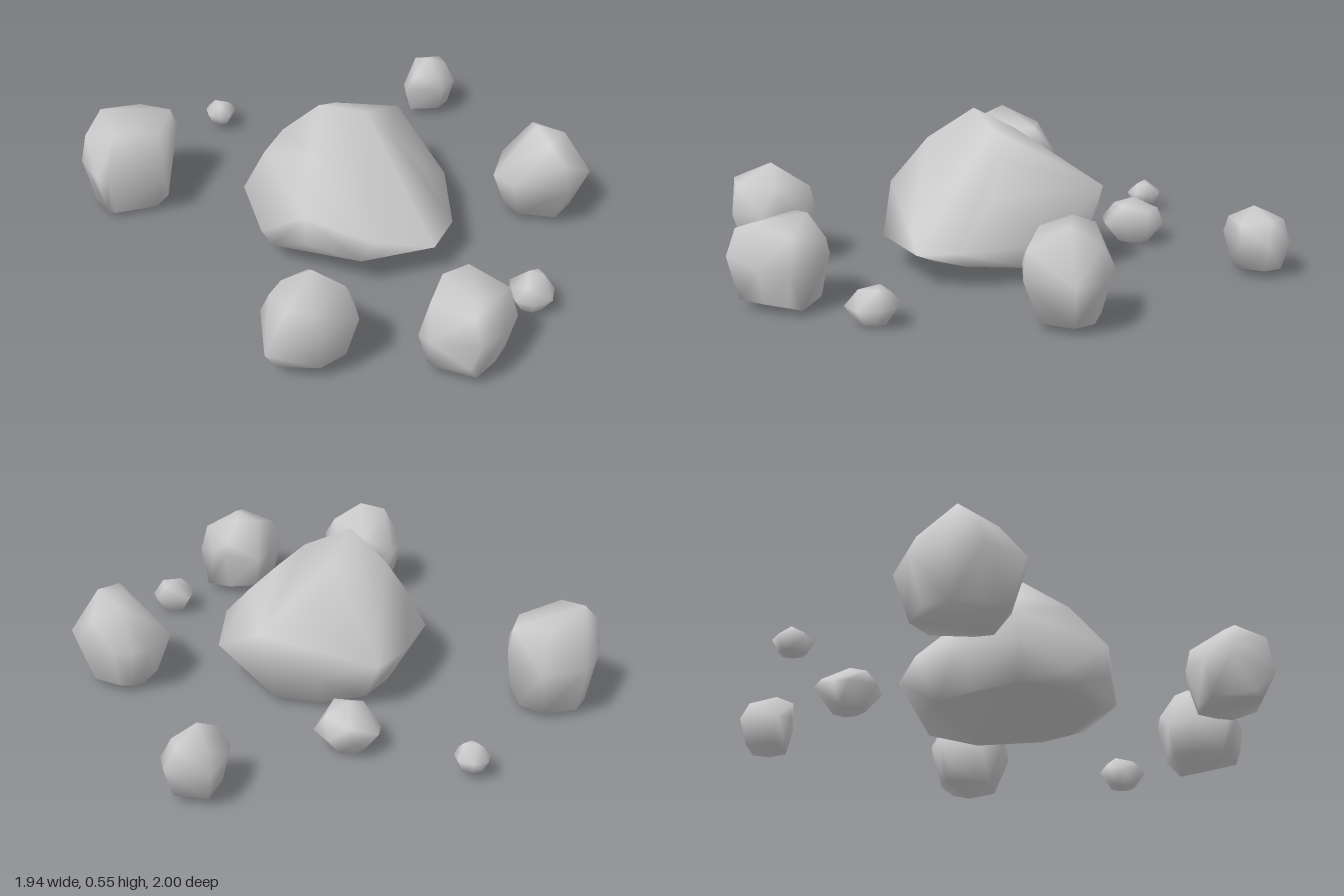
import * as THREE from 'three';
import { ConvexGeometry } from 'three/addons/geometries/ConvexGeometry.js';
import { mergeVertices } from 'three/addons/utils/BufferGeometryUtils.js';

const material = new THREE.MeshStandardMaterial({ color: 0xcccccc });

// A smooth-shaded boulder: widest outline (rim) as [x, z, height], extra corners (crown)
// as [x, y, z], and an underside made by shrinking the rim onto a base plane.
// A crown corner with a fourth number is pressed down by that much to form a hollow.
function stone(name, { rim, belt, crown, base, shrink = 0.72, tilt = 0 }) {
  const cx = rim.reduce((s, p) => s + p[0], 0) / rim.length;
  const cz = rim.reduce((s, p) => s + p[1], 0) / rim.length;
  const points = crown.map(([x, y, z]) => new THREE.Vector3(x, y, z));
  for (const [x, z, y = belt] of rim) {
    const bz = cz + (z - cz) * shrink;
    points.push(new THREE.Vector3(x, y, z));
    points.push(new THREE.Vector3(cx + (x - cx) * shrink, base + tilt * (bz - cz), bz));
  }
  const hull = new ConvexGeometry(points);
  hull.deleteAttribute('normal');
  const geometry = mergeVertices(hull);
  const pos = geometry.attributes.position;
  for (const [x, y, z, drop] of crown.filter((p) => p.length > 3)) {
    for (let i = 0; i < pos.count; i++) {
      const d = Math.hypot(pos.getX(i) - x, pos.getY(i) - y, pos.getZ(i) - z);
      if (d < 1e-3) pos.setY(i, y - drop);
    }
  }
  geometry.computeVertexNormals();
  const mesh = new THREE.Mesh(geometry, material);
  mesh.name = name;
  return mesh;
}

export function createModel() {
  const group = new THREE.Group();
  group.name = 'rocks';
  group.add(
    // large central boulder, with a hollow above its front lip
    stone('centralBoulder', {
      belt: 0.19, base: 0.06, shrink: 0.78, tilt: 0.09,
      rim: [[-0.35, -0.01], [-0.27, -0.21], [-0.16, -0.36], [0.05, -0.41, 0.17], [0.26, -0.36, 0.32],
        [0.42, -0.11, 0.16], [0.41, 0.21, 0.15], [0.33, 0.34, 0.13], [0.06, 0.41, 0.13],
        [-0.13, 0.35, 0.17], [-0.29, 0.17, 0.11]],
      crown: [[-0.27, 0.34, -0.01], [-0.2, 0.44, 0], [-0.07, 0.56, 0.04], [0.1, 0.51, 0.01],
        [0.2, 0.42, 0.03], [0.31, 0.31, 0.06], [-0.1, 0.45, 0.21], [-0.14, 0.28, 0.345],
        [0, 0.49, -0.1], [0.07, 0.37, -0.27], [-0.25, 0.08, 0.22], [0.11, 0.31, 0.315, 0.17]],
    }),
    // medium rocks around it
    stone('leftRearRock', {
      belt: 0.21, base: 0.03, shrink: 0.74,
      rim: [[-0.97, -0.2], [-0.94, -0.32], [-0.88, -0.43], [-0.72, -0.47], [-0.61, -0.38, 0.25],
        [-0.65, -0.1, 0.18], [-0.86, -0.05], [-0.9, -0.06]],
      crown: [[-0.95, 0.31, -0.22], [-0.89, 0.39, -0.28], [-0.63, 0.34, -0.35],
        [-0.75, 0.34, -0.4], [-0.83, 0.35, -0.14], [-0.67, 0.32, -0.2], [-0.65, 0.04, -0.2]],
    }),
    stone('rightRock', {
      belt: 0.19, base: 0.035, shrink: 0.68,
      rim: [[0.6, -0.05, 0.18], [0.66, -0.21], [0.72, -0.235], [0.79, -0.23], [0.93, -0.15],
        [0.97, -0.04], [0.86, 0.1], [0.66, 0.05]],
      crown: [[0.76, 0.37, -0.09], [0.86, 0.36, -0.05], [0.76, 0.34, -0.17], [0.87, 0.29, -0.16],
        [0.84, 0.29, 0.085], [0.79, 0.35, 0.03], [0.65, 0.09, -0.17]],
    }),
    stone('frontRock', {
      belt: 0.2, base: 0.06, shrink: 0.74,
      rim: [[-0.3, 0.76], [-0.26, 0.67], [-0.14, 0.63], [-0.03, 0.66], [0.01, 0.76, 0.22],
        [0.02, 0.85, 0.22], [-0.1, 0.94], [-0.29, 0.92, 0.14]],
      crown: [[-0.27, 0.28, 0.78], [-0.23, 0.35, 0.8], [-0.13, 0.38, 0.79], [-0.02, 0.31, 0.79],
        [-0.13, 0.3, 0.92], [-0.22, 0.31, 0.92], [-0.14, 0.28, 0.65], [-0.28, 0.07, 0.84]],
    }),
    stone('frontRightRock', {
      belt: 0.17, base: 0.045, shrink: 0.8,
      rim: [[0.21, 0.88], [0.26, 0.75], [0.3, 0.665], [0.44, 0.655, 0.2], [0.49, 0.7, 0.2],
        [0.55, 0.8], [0.49, 0.9], [0.4, 0.995, 0.2], [0.24, 0.92]],
      crown: [[0.25, 0.28, 0.85], [0.3, 0.315, 0.75], [0.39, 0.33, 0.72], [0.52, 0.28, 0.79],
        [0.38, 0.29, 0.96], [0.4, 0.31, 0.89], [0.52, 0.03, 0.76], [0.43, 0.25, 0.665],
        [0.37, 0.09, 0.97]],
    }),
    // small rocks and pebbles
    stone('rearRightRock', {
      belt: 0.14, base: 0.04, shrink: 0.75,
      rim: [[0.34, -0.86], [0.39, -1], [0.54, -0.97], [0.56, -0.88], [0.5, -0.8], [0.34, -0.8]],
      crown: [[0.44, 0.26, -0.87], [0.52, 0.22, -0.9], [0.4, 0.21, -0.97], [0.5, 0.22, -0.96],
        [0.38, 0.21, -0.8], [0.48, 0.2, -0.805]],
    }),
    stone('rearRock', {
      belt: 0.085, base: 0.01, shrink: 0.5,
      rim: [[-0.16, -0.59], [-0.15, -0.65], [-0.07, -0.715], [0.02, -0.69], [0.07, -0.61],
        [0.04, -0.53], [-0.03, -0.47], [-0.13, -0.49]],
      crown: [[-0.05, 0.18, -0.59], [0, 0.16, -0.53], [-0.1, 0.15, -0.53], [-0.05, 0.13, -0.69],
        [0.03, 0.14, -0.62]],
    }),
    stone('frontPebble', {
      belt: 0.08, base: 0.02, shrink: 0.55,
      rim: [[0.57, 0.54], [0.58, 0.48], [0.65, 0.455], [0.71, 0.48], [0.73, 0.54], [0.71, 0.61],
        [0.64, 0.64], [0.58, 0.61]],
      crown: [[0.64, 0.145, 0.52], [0.69, 0.14, 0.54], [0.62, 0.125, 0.59], [0.68, 0.13, 0.49]],
    }),
    stone('rearPebble', {
      belt: 0.085, base: 0.04, shrink: 0.65,
      rim: [[-0.51, -0.79], [-0.5, -0.83], [-0.45, -0.85], [-0.4, -0.83], [-0.39, -0.78],
        [-0.41, -0.73], [-0.45, -0.71], [-0.5, -0.74]],
      crown: [[-0.47, 0.13, -0.79], [-0.42, 0.125, -0.78], [-0.45, 0.12, -0.75]],
    }),
  );
  return group;
}
